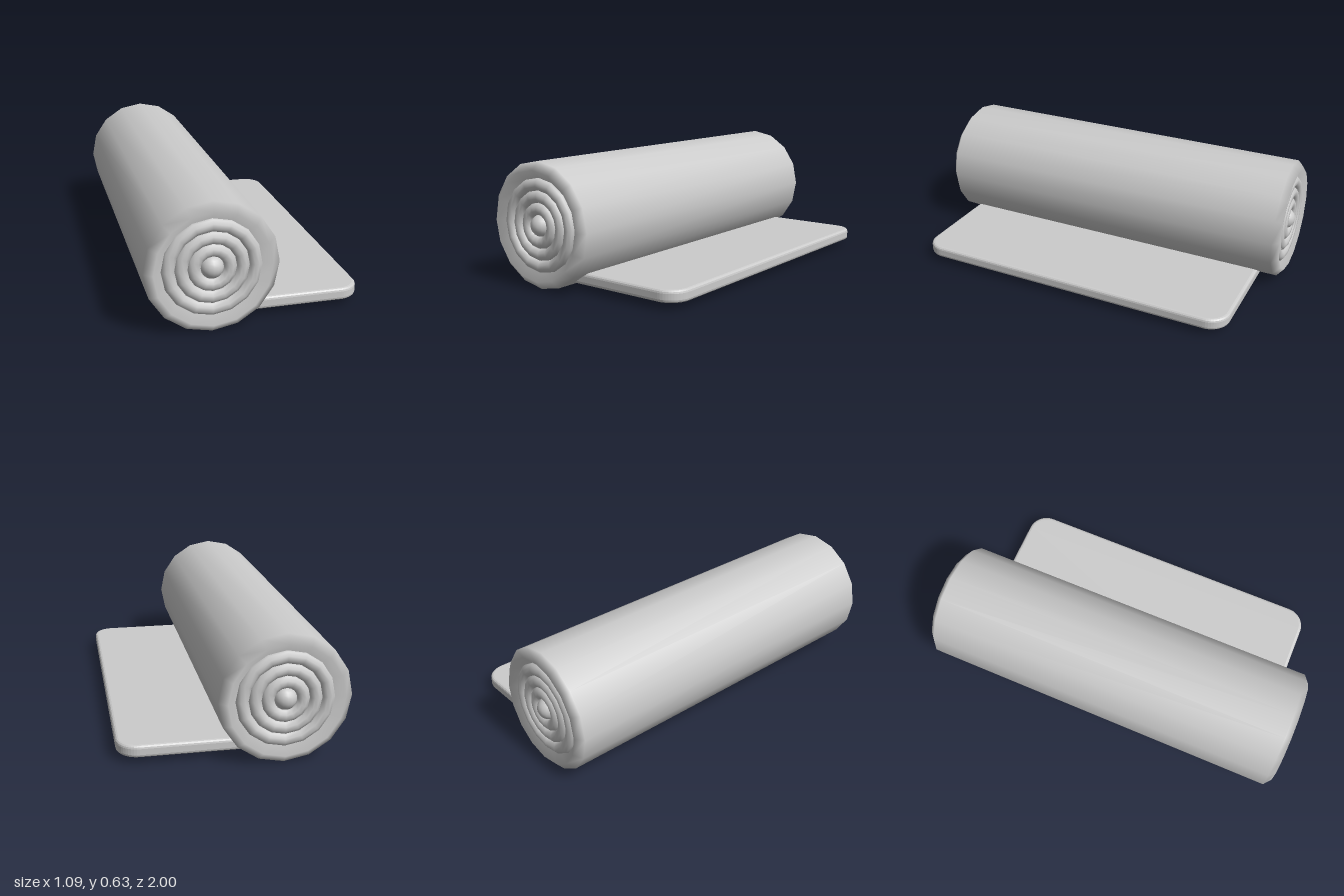
import * as THREE from 'three';

const CENTRE = [-0.23, 0.316];
const SIDES = 16;

export function createModel() {
  const model = new THREE.Group();
  model.name = 'rolledMat';
  const material = new THREE.MeshStandardMaterial({ color: 0xcccccc });
  const add = (name, geometry, x, y, z, parent = model) => {
    const mesh = new THREE.Mesh(geometry, material);
    mesh.name = name;
    mesh.position.set(x, y, z);
    parent.add(mesh);
    return mesh;
  };

  // Outer layer of the roll: bevelled rims sloping into a recess at both ends
  const end = [[0.316, 0.96], [0.275, 0.994], [0.232, 0.955], [0, 0.94]];
  const profile = [
    ...end.map(([r, z]) => new THREE.Vector2(r, -z)).reverse(),
    ...end.map(([r, z]) => new THREE.Vector2(r, z)),
  ];
  const rollGeometry = new THREE.LatheGeometry(profile, SIDES).rotateX(Math.PI / 2);
  add('outerRoll', rollGeometry, CENTRE[0], CENTRE[1], 0);

  // Inner layers showing at each end: concentric rounded rings and a core
  for (const side of [1, -1]) {
    const layers = new THREE.Group();
    layers.name = side > 0 ? 'frontLayers' : 'backLayers';
    model.add(layers);
    for (const radius of [0.084, 0.144, 0.204]) {
      add('layerRing', new THREE.TorusGeometry(radius, 0.033, 10, SIDES),
        CENTRE[0], CENTRE[1], side * 0.95, layers);
    }
    add('core', new THREE.SphereGeometry(0.056, 16, 12),
      CENTRE[0], CENTRE[1], side * 0.944, layers);
  }

  // Unrolled flap: flat sheet with rounded outer corners and soft edges
  const bevel = 0.016, x0 = -0.22, x1 = 0.54 - bevel, z1 = 0.878 - bevel, r = 0.09;
  const outline = new THREE.Shape();
  outline.moveTo(x0, -z1);
  outline.lineTo(x1 - r, -z1);
  outline.absarc(x1 - r, -z1 + r, r, -Math.PI / 2, 0);
  outline.lineTo(x1, z1 - r);
  outline.absarc(x1 - r, z1 - r, r, 0, Math.PI / 2);
  outline.lineTo(x0, z1);
  outline.closePath();
  const flap = new THREE.ExtrudeGeometry(outline, {
    depth: 0.062 - 2 * bevel, bevelThickness: bevel, bevelSize: bevel,
    bevelSegments: 3, curveSegments: 6,
  }).rotateX(-Math.PI / 2);
  add('flap', flap, 0, 0.033 + bevel, 0);

  return model;
}
